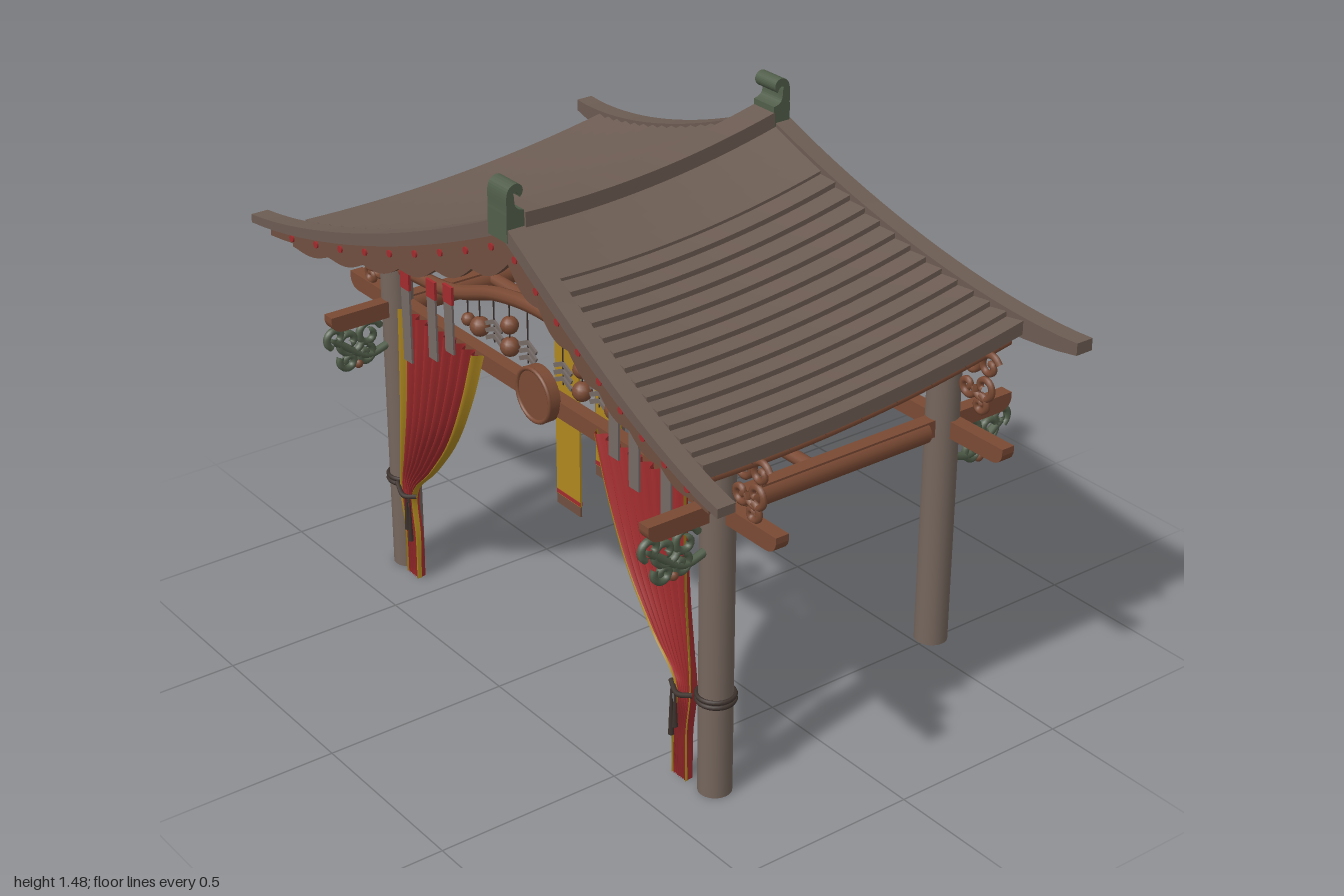
import * as THREE from 'three';
import { toCreasedNormals } from 'three/addons/utils/BufferGeometryUtils.js';

const mat = (name, color, side = THREE.FrontSide) => {
  const m = new THREE.MeshStandardMaterial({ color, side });
  m.name = name;
  return m;
};
const V = (x, y, z) => new THREE.Vector3(x, y, z);
const range = (a, b, n) => Array.from({ length: n + 1 }, (_, i) => a + (b - a) * i / n);

// Solid from closed cross-sections; corner order is corrected by signed volume
function loft(rings, crease = 0.5) {
  const m = rings[0].length, last = (rings.length - 1) * m, idx = [], pts = rings.flat();
  for (let i = 0; i < rings.length - 1; i++) for (let j = 0; j < m; j++) {
    const a = i * m + j, b = i * m + (j + 1) % m;
    idx.push(a, b, a + m, b, b + m, a + m);
  }
  for (let j = 1; j < m - 1; j++) idx.push(0, j + 1, j, last, last + j, last + j + 1);
  let vol = 0;
  for (let i = 0; i < idx.length; i += 3)
    vol += pts[idx[i]].dot(V(0, 0, 0).crossVectors(pts[idx[i + 1]], pts[idx[i + 2]]));
  if (vol < 0) idx.reverse();
  const g = new THREE.BufferGeometry().setFromPoints(pts);
  g.setIndex(idx);
  return toCreasedNormals(g, crease);
}

// Open sheet from a rule f(s, t)
function sheet(f, ns, nt) {
  const pts = [], idx = [];
  for (const t of range(0, 1, nt)) for (const s of range(0, 1, ns)) pts.push(f(s, t));
  for (let i = 0; i < nt; i++) for (let j = 0; j < ns; j++) {
    const a = i * (ns + 1) + j, b = a + ns + 1;
    idx.push(a, b, a + 1, b, b + 1, a + 1);
  }
  const g = new THREE.BufferGeometry().setFromPoints(pts);
  g.setIndex(idx);
  g.computeVertexNormals();
  return g;
}

// Roof rules: v runs from the back (0) to the front (1)
const roofFront = x => 0.435 + 0.125 * Math.abs(x) ** 1.2;
const roofBack = x => -0.375 - 0.13 * Math.abs(x) ** 1.2;
const roofY = (x, v) => 1.37 - 0.08 * v - 0.12 * v * (1 - v) - 0.3 * (1 - (1 - Math.abs(x)) ** 1.6);
const roofZ = (x, v) => roofBack(x) + (roofFront(x) - roofBack(x)) * v;
const onRoof = (x, v, dy) => V(x, roofY(x, v) + dy, roofZ(x, v));

export function createModel() {
  const root = new THREE.Group();
  root.name = 'gate pavilion';
  const post = mat('weathered wood', 0x75665d), roof = mat('roof wood', 0x6c5c53);
  const brown = mat('brown wood', 0x7a4a34), trim = mat('carved trim', 0x6f4f40);
  const red = mat('red cloth', 0xa32c2e, THREE.DoubleSide), gold = mat('gold cloth', 0xae8820, THREE.DoubleSide);
  const green = mat('green carving', 0x515e4a), dark = mat('dark rope', 0x3d322d);
  const strap = mat('grey cloth', 0x756a66, THREE.DoubleSide);
  const add = (name, geo, m, x = 0, y = 0, z = 0) => {
    const o = new THREE.Mesh(geo, m);
    o.name = name;
    o.position.set(x, y, z);
    root.add(o);
    return o;
  };
  const box = (w, h, d) => new THREE.BoxGeometry(w, h, d);
  const tube = (pts, r, n = 20, k = 8) => new THREE.TubeGeometry(new THREE.CatmullRomCurve3(pts), n, r, k);

  // Beam with rounded lower ends, lying along x
  const beamGeo = (half, w) => {
    const s = new THREE.Shape();
    s.moveTo(-half, 0.022).lineTo(-half, 0.005).quadraticCurveTo(-half + 0.005, -0.024, -half + 0.04, -0.024);
    s.lineTo(half - 0.04, -0.024).quadraticCurveTo(half - 0.005, -0.024, half, 0.005).lineTo(half, 0.022);
    return new THREE.ExtrudeGeometry(s, { depth: w, bevelEnabled: false }).translate(0, 0, -w / 2);
  };

  // Posts and main frame
  for (const [z, y0, y1] of [[0.335, 0, 0.97], [-0.36, 0.17, 1.04]]) {
    for (const s of [-1, 1])
      add('post', new THREE.CylinderGeometry(0.043, 0.043, y1 - y0, 20), post, s * 0.688, (y0 + y1) / 2, z);
    add('crossBeam', beamGeo(0.91, 0.038), brown, 0, 0.783, z - 0.008);
    const lift = z > 0 ? 0 : 0.025;
    const half = [[0.66, 0.9], [0.42, 0.922], [0.2, 0.993]];
    const arch = [...half.map(([x, y]) => [-x, y]), [0, 1.018], ...half.reverse()];
    add('archedBeam', tube(arch.map(([x, y]) => V(x, y + lift, z)), 0.02, 40), brown);
  }
  for (const s of [-1, 1]) {
    add('sideBeam', beamGeo(0.562, 0.036), brown, s * 0.688, 0.786, -0.013).rotation.y = Math.PI / 2;
    add('sideLog', new THREE.CylinderGeometry(0.031, 0.031, 0.6, 16), brown, s * 0.688, 0.778, 0).rotation.x = Math.PI / 2;
  }
  add('bannerBeam', new THREE.CylinderGeometry(0.018, 0.018, 1.36, 10), brown, 0, 0.785, 0.04).rotation.z = Math.PI / 2;

  // Roof: overlapping boards running from back to front
  const vs = range(0.03, 0.97, 18);
  for (const s of [-1, 1]) {
    const edge = (x0, x1, r0, r1) => loft(vs.map(v => [
      onRoof(s * x0, v, r0), onRoof(s * x1, v, r1), onRoof(s * x1, v, -0.022), onRoof(s * x0, v, -0.022)]));
    for (let i = 0; i < 4; i++) add('ridgePanel', edge(0.05 * i, 0.05 * i + 0.05, 0.008, 0.008), roof);
    for (let i = 0; i < 13; i++) add('roofBoard', edge(0.2 + 0.05 * i, 0.25 + 0.05 * i, 0, 0.014), roof);
    // Purlins under the roof
    for (const [x, r] of [[0.15, 0.012], [0.34, 0.014], [0.52, 0.014], [0.69, 0.02], [0.82, 0.012]])
      add('purlin', tube(range(0.04, 0.96, 6).map(v => onRoof(s * x, v, -0.035 - r)), r), brown);
    // Rafters follow the slope
    for (const v of range(0.08, 0.92, 8))
      add('rafter', tube(range(0.01, 0.84, 6).map(x => onRoof(s * x, v, -0.03)), 0.012, 16, 6), trim);
  }
  add('ridgeCap', loft(vs.map(v => [[-0.04, -0.02], [-0.04, 0.028], [0.04, 0.028], [0.04, -0.02]]
    .map(([x, d]) => V(x, roofY(0, v) + d, roofZ(0, v))))), roof);

  // Gable boards: a strip swept from tip to tip, thinner at the ends
  const gable = (v, z0, z1, top, bottom, n, tip) => loft(range(-tip, tip, n).map(x => {
    const z = roofZ(x, v), y = roofY(x, v);
    return [V(x, y + top(x), z + z0), V(x, y + top(x), z + z1), V(x, y + bottom(x), z + z1), V(x, y + bottom(x), z + z0)];
  }));
  const taper = x => 1 - 0.62 * Math.abs(x) ** 1.3;
  add('frontRoofEdge', gable(1, -0.024, 0.026, () => 0.012, x => -0.03 * taper(x), 40, 1), roof);
  add('frontFascia', gable(1, -0.02, 0.012, () => -0.008, x => -0.088 * taper(x), 40, 0.94), trim);
  add('scallopedTrim', gable(1, -0.012, 0.004, () => -0.03,
    x => -taper(x) * (0.115 + 0.025 * Math.abs(Math.sin(x * 22))), 120, 0.86), trim);
  add('backRoofEdge', gable(0, -0.026, 0.024, () => 0.012, x => -0.105 * taper(x) + 0.02 * Math.abs(x) ** 4, 40, 1), roof);
  for (const x of range(-0.85, 0.85, 17)) {
    const y = roofY(x, 1) - 0.06 * taper(x);
    add('redStud', new THREE.CylinderGeometry(0.01, 0.01, 0.006, 8), red, x, y, roofFront(x) + 0.013).rotation.x = Math.PI / 2;
  }

  // Curled ridge finials
  const fin = new THREE.Shape();
  fin.moveTo(-0.025, -0.04).lineTo(-0.025, 0.035).bezierCurveTo(0.012, 0.04, -0.002, 0.065, 0.005, 0.082);
  fin.bezierCurveTo(0.0, 0.09, -0.012, 0.08, -0.014, 0.07).bezierCurveTo(-0.032, 0.085, -0.02, 0.108, 0.0, 0.106);
  fin.bezierCurveTo(0.035, 0.1, 0.022, 0.06, 0.026, 0.03).lineTo(0.026, -0.04);
  const finGeo = new THREE.ExtrudeGeometry(fin, { depth: 0.08, bevelEnabled: false }).translate(0, 0, -0.04);
  add('frontFinial', finGeo, green, 0, 1.29, 0.44).rotation.y = -Math.PI / 2;
  add('backFinial', finGeo, green, 0, 1.372, -0.372).rotation.y = Math.PI / 2;

  // Scroll carvings: spirals [centre u, centre v, radius, start angle, turn direction]
  const scroll = (name, m, place, list, r) => list.forEach(([u, w, R, a0, dir]) => {
    add(name, tube(range(0, 1, 14).map(t => {
      const a = a0 + dir * t * 7.5, q = R * (1 - 0.8 * t);
      return place(u + q * Math.cos(a), w + q * Math.sin(a));
    }), r, 32, 6), m);
  });
  const bracket = [[0.05, 0.13, 0.042, 2.6, -1], [0.115, 0.135, 0.035, 0.4, 1], [0.1, 0.075, 0.038, 3.4, 1],
    [0.045, 0.06, 0.03, 0.5, -1], [0.09, 0.025, 0.026, 1.6, -1]];
  const leaf = [[0.05, -0.03, 0.04, 2.8, -1], [0.11, -0.035, 0.042, 3.4, 1], [0.15, -0.015, 0.03, 5.2, 1],
    [0.065, -0.085, 0.03, 1.8, 1], [0.115, -0.09, 0.028, 0.6, -1]];
  for (const s of [-1, 1]) for (const [z, e, lift] of [[0.335, 1, 0], [-0.36, -1, 0.06]]) {
    scroll('cornerBracket', brown, (u, w) => V(s * (0.725 + u), 0.8 + lift + w, z), bracket, 0.009);
    scroll('hangingScroll', green, (u, w) => V(s * 0.688, 0.755 + w, z + e * (0.045 + u)), leaf, 0.01);
    add('scrollStem', tube([V(s * 0.688, 0.68, z + e * 0.03), V(s * 0.688, 0.665, z + e * 0.1),
      V(s * 0.688, 0.73, z + e * 0.2)], 0.011), green);
    add('scrollBud', new THREE.SphereGeometry(0.014, 10, 8), brown, s * 0.688, 0.648, z + e * 0.13);
  }

  // Tied curtains with gold borders
  const inner = new THREE.CatmullRomCurve3([V(0.255, 0.81, 0), V(0.31, 0.66, 0), V(0.39, 0.5, 0),
    V(0.49, 0.37, 0), V(0.585, 0.265, 0), V(0.575, 0.14, 0), V(0.575, 0.005, 0)]);
  const outer = new THREE.CatmullRomCurve3([V(0.605, 0.81, 0), V(0.61, 0.66, 0), V(0.62, 0.5, 0),
    V(0.635, 0.37, 0), V(0.643, 0.265, 0), V(0.628, 0.14, 0), V(0.628, 0.005, 0)]);
  for (const s of [-1, 1]) {
    const cloth = (a, b, dz) => (u, t) => {
      const k = a + (b - a) * u, p = inner.getPoint(t).lerp(outer.getPoint(t), k);
      return V(s * p.x, p.y, 0.366 + dz + 0.013 * Math.sin(k * 50 + 1.5 * t));
    };
    add('curtain', sheet(cloth(0, 1, 0), 64, 28), red);
    add('curtainInnerBorder', sheet(cloth(-0.03, 0.035, 0.002), 4, 28), gold);
    add('curtainOuterBorder', sheet(cloth(0.97, 1.03, 0.002), 4, 28), gold);
    // Tie rope and tassels
    for (const y of [0.262, 0.276])
      add('tieRope', new THREE.TorusGeometry(0.047, 0.006, 6, 24), dark, s * 0.688, y, 0.335).rotation.x = Math.PI / 2;
    add('curtainTie', tube([V(s * 0.66, 0.27, 0.38), V(s * 0.61, 0.255, 0.392), V(s * 0.565, 0.265, 0.375)], 0.007), dark);
    for (const [x, h] of [[0.585, 0.13], [0.6, 0.1]])
      add('tassel', new THREE.CylinderGeometry(0.003, 0.008, h, 6), dark, s * x, 0.255 - h / 2, 0.39);
    // Cloth straps over the beams
    for (const [x, y0, y1] of [[0.56, 0.68, 0.93], [0.435, 0.735, 0.95], [0.355, 0.785, 0.965]]) {
      add('strap', box(0.038, y1 - y0, 0.006), strap, s * x, (y0 + y1) / 2, 0.386);
      add('strapTop', box(0.04, 0.05, 0.008), red, s * x, y1 - 0.015, 0.386);
    }
    // Hanging banners
    for (const [x, y0] of [[0.327, 0.22], [0.14, 0.385]]) {
      const c = s * x + (x < 0.2 ? -0.004 : 0);
      add('banner', box(0.108, 0.79 - y0 - 0.03, 0.006), gold, c, (0.82 + y0) / 2, 0.04);
      add('bannerHem', box(0.108, 0.03, 0.006), trim, c, y0 + 0.015, 0.04);
      add('bannerStripe', box(0.108, 0.012, 0.008), red, c, y0 + 0.038, 0.04);
    }
    // Hanging charms below the arched beam
    for (const [x, y, r] of [[0.155, 0.925, 0.024], [0.155, 0.865, 0.026], [0.29, 0.87, 0.027], [0.345, 0.87, 0.018]]) {
      add('charm', new THREE.SphereGeometry(r, 12, 10), brown, s * x, y, 0.335);
      add('charmString', box(0.003, 0.08, 0.003), dark, s * x, y + 0.05, 0.335);
    }
    for (const x of [0.075, 0.225]) {
      add('leafString', box(0.003, 0.14, 0.003), dark, s * x, 0.92, 0.335);
      for (const y of [0.9, 0.88, 0.86]) for (const k of [-1, 1])
        add('leafCharm', box(0.042, 0.011, 0.006), strap, s * x + k * 0.017, y, 0.335).rotation.z = -k * 0.45;
    }
  }

  // Round plaque at the centre of the front beam
  add('plaque', new THREE.CylinderGeometry(0.075, 0.075, 0.03, 32), brown, 0, 0.803, 0.358).rotation.x = Math.PI / 2;
  add('plaqueRim', new THREE.TorusGeometry(0.07, 0.006, 8, 32), brown, 0, 0.803, 0.373);
  return root;
}
